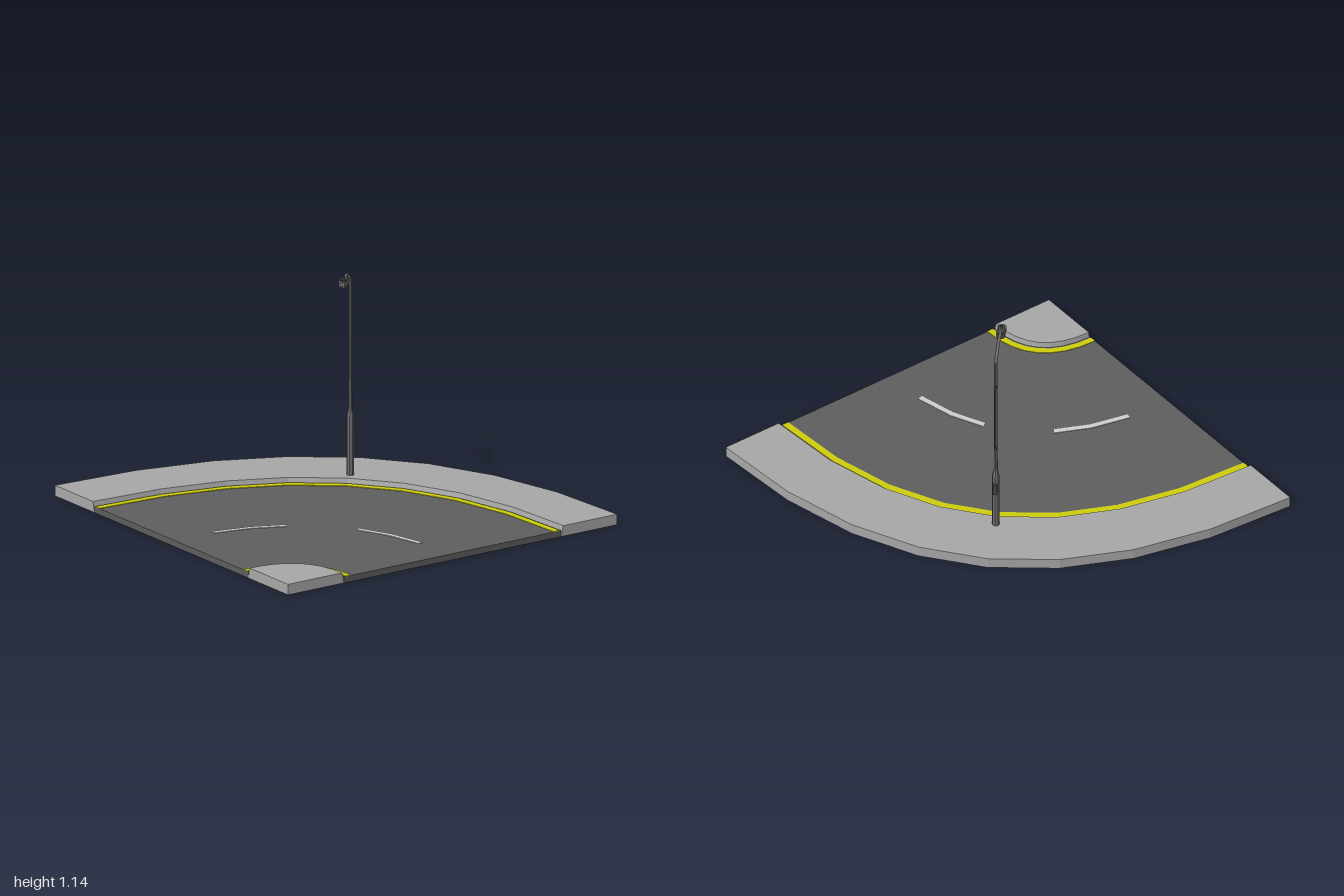
import * as THREE from 'three';

function material(name, color, extra) {
  const m = new THREE.MeshStandardMaterial({ color });
  m.name = name;
  return m;
}

// Point on the bend: a quadratic curve around the corner (-1, 1), scaled by r
function bendPoint(t, r, y) {
  return [-1 + r * (2 * t - t * t), y, 1 - r * (1 - t * t)];
}

// Sweeps a convex [r, y] profile along the bend with flat faces and closed ends
function sweepBend(profile, from = 0, to = 8) {
  const pos = [];
  const tri = (a, b, c) => pos.push(...a, ...b, ...c);
  const ring = (i) => profile.map(([r, y]) => bendPoint(i / 8, r, y));
  const n = profile.length;
  for (let i = from; i < to; i++) {
    const p = ring(i), q = ring(i + 1);
    for (let j = 0; j < n; j++) {
      const k = (j + 1) % n;
      tri(p[j], p[k], q[k]);
      tri(p[j], q[k], q[j]);
    }
  }
  const start = ring(from), end = ring(to);
  for (let j = 1; j < n - 1; j++) {
    tri(start[0], start[j + 1], start[j]);
    tri(end[0], end[j], end[j + 1]);
  }
  const g = new THREE.BufferGeometry();
  g.setAttribute('position', new THREE.Float32BufferAttribute(pos, 3));
  g.computeVertexNormals();
  return g;
}

const rect = (r0, r1, y0, y1) => [[r0, y0], [r1, y0], [r1, y1], [r0, y1]];

export function createModel() {
  const model = new THREE.Group();
  model.name = 'roadBend';

  const asphalt = material('asphalt', 0x5d5d5d);
  const concrete = material('concrete', 0xa6a6a6);
  const yellow = material('yellowPaint', 0xcccc0c);
  const white = material('whitePaint', 0xcccccc);
  const metal = material('lampMetal', 0x6e6e6e);
  const darkMetal = material('darkMetal', 0x484848);
  const glass = material('lampGlass', 0xb4b478);

  const add = (parent, name, geometry, mat, x = 0, y = 0, z = 0) => {
    const mesh = new THREE.Mesh(geometry, mat);
    mesh.name = name;
    mesh.position.set(x, y, z);
    parent.add(mesh);
    return mesh;
  };

  // Road and pavements with sloping kerbs
  const roadY = 0.032, topY = 0.055, paintY = 0.035;
  add(model, 'road', sweepBend(rect(0.34, 1.66, 0, roadY)), asphalt);
  add(model, 'outerPavement',
    sweepBend([[1.66, 0], [2, 0], [2, topY], [1.673, topY]]), concrete);
  add(model, 'innerPavement',
    sweepBend([[0, 0], [0.34, 0], [0.33, topY], [0, topY]]), concrete);

  // Painted lines
  add(model, 'outerYellowLine', sweepBend(rect(1.615, 1.652, roadY, paintY)), yellow);
  add(model, 'innerYellowLine', sweepBend(rect(0.35, 0.383, roadY, paintY)), yellow);
  for (const start of [1, 5]) {
    add(model, 'centreDash', sweepBend(rect(0.972, 1.0, roadY, paintY), start, start + 2), white);
  }

  // Street lamp: its local +x reaches over the road
  const lamp = new THREE.Group();
  lamp.name = 'streetLamp';
  lamp.position.set(0.298, 0, -0.298);
  lamp.rotation.y = -Math.PI * 0.75;
  model.add(lamp);

  // Column: wide base, shoulder, slim pole
  const column = [[0, 0.05], [0.019, 0.05], [0.019, 0.36], [0.01, 0.4], [0.008, 1.07], [0, 1.078]];
  const columnGeo = new THREE.LatheGeometry(column.map(([r, y]) => new THREE.Vector2(r, y)), 8)
    .toNonIndexed();
  columnGeo.computeVertexNormals();
  add(lamp, 'column', columnGeo, metal);

  // Service box and cable conduit on the back of the column
  add(lamp, 'serviceBox', new THREE.BoxGeometry(0.014, 0.06, 0.02), darkMetal, -0.024, 0.29, 0);
  add(lamp, 'conduit', new THREE.BoxGeometry(0.008, 0.4, 0.008), darkMetal, -0.019, 0.73, 0);
  for (const y of [0.54, 0.92]) {
    add(lamp, 'conduitClip', new THREE.BoxGeometry(0.02, 0.012, 0.012), darkMetal, -0.013, y, 0);
  }

  // Arm rising towards the lamp head
  const armPath = new THREE.CurvePath();
  const armPoints = [[0, 1.06], [0.008, 1.082], [0.11, 1.13], [0.16, 1.127]]
    .map(([x, y]) => new THREE.Vector3(x, y, 0));
  for (let i = 0; i < 3; i++) armPath.add(new THREE.LineCurve3(armPoints[i], armPoints[i + 1]));
  add(lamp, 'arm', new THREE.TubeGeometry(armPath, 24, 0.008, 6), metal);

  // Lamp head: chamfered housing, glass below, cap and sensor above
  const head = new THREE.Shape();
  const corners = [[-0.046, -0.012], [-0.034, -0.022], [0.036, -0.022], [0.048, -0.012],
    [0.048, 0.012], [0.036, 0.022], [-0.034, 0.022], [-0.046, 0.012]];
  head.setFromPoints(corners.map(([x, z]) => new THREE.Vector2(x, z)));
  const slab = (depth, scale) => new THREE.ExtrudeGeometry(head, { depth, bevelEnabled: false })
    .rotateX(-Math.PI / 2).scale(scale, 1, scale);
  add(lamp, 'headHousing', slab(0.02, 1), metal, 0.19, 1.105, 0);
  add(lamp, 'headGlass', slab(0.008, 0.85), glass, 0.19, 1.098, 0);
  add(lamp, 'headCap', slab(0.008, 0.75), darkMetal, 0.185, 1.125, 0);
  add(lamp, 'headSensor', new THREE.CylinderGeometry(0.008, 0.008, 0.012, 8), darkMetal, 0.2, 1.138, 0);

  return model;
}
